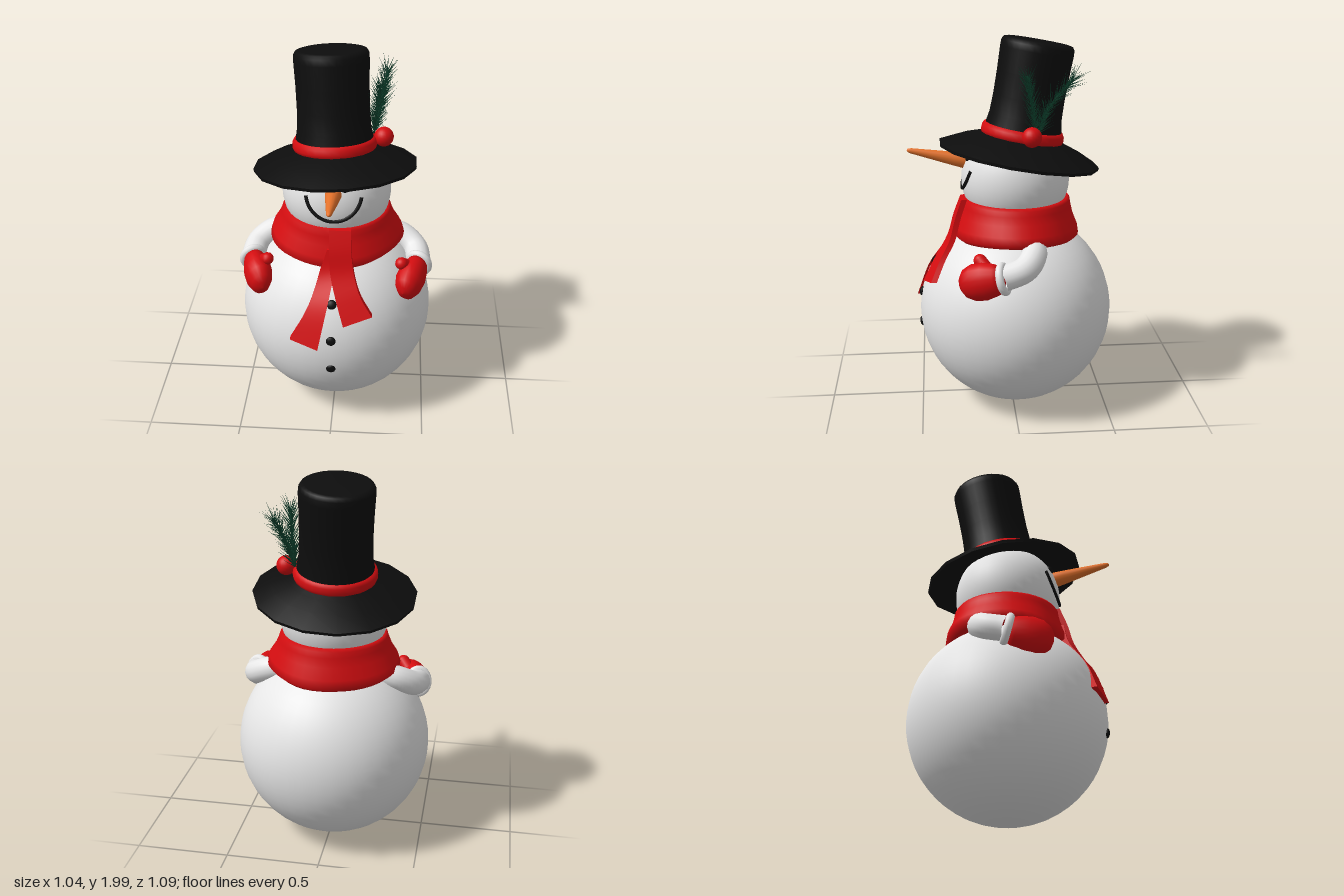
import * as THREE from 'three';
import { mergeGeometries, toCreasedNormals } from 'three/addons/utils/BufferGeometryUtils.js';

const V = (x, y, z) => new THREE.Vector3(x, y, z);
const mat = (name, color, side = THREE.FrontSide) => {
  const m = new THREE.MeshStandardMaterial({ color, side });
  m.name = name;
  return m;
};
const BODY = { c: V(0, 0.53, -0.022), r: 0.52 };
const HEAD = { c: V(0, 1.26, -0.02), r: 0.285 };

// Front point of a ball at the given x and y
const onBall = (b, x, y) => V(x, y, b.c.z + Math.sqrt(b.r ** 2 - (x - b.c.x) ** 2 - (y - b.c.y) ** 2));
const lathe = (pts, seg = 32) => new THREE.LatheGeometry(pts.map(p => new THREE.Vector2(...p)), seg);

// Flat cloth strip swept between two edge curves
function ribbon(left, right, thick = 0.03, n = 14) {
  const L = new THREE.CatmullRomCurve3(left.map(p => V(...p)));
  const R = new THREE.CatmullRomCurve3(right.map(p => V(...p)));
  const pos = [], idx = [];
  for (let i = 0; i <= n; i++) {
    const a = L.getPoint(i / n), b = R.getPoint(i / n);
    for (const [p, d] of [[a, 0], [b, 0], [b, thick], [a, thick]]) pos.push(p.x, p.y, p.z - d);
  }
  for (let i = 0; i < n; i++) for (let k = 0; k < 4; k++) {
    const a = i * 4 + k, b = i * 4 + (k + 1) % 4;
    idx.push(a, a + 4, b, b, a + 4, b + 4);
  }
  const e = n * 4;
  idx.push(0, 1, 2, 0, 2, 3, e, e + 2, e + 1, e, e + 3, e + 2);
  const g = new THREE.BufferGeometry();
  g.setAttribute('position', new THREE.Float32BufferAttribute(pos, 3));
  g.setIndex(idx);
  return toCreasedNormals(g, 0.7);
}

// Evergreen twig: a stem with thin needles spiralling along it
function twig(points, count, rand) {
  const curve = new THREE.CatmullRomCurve3(points.map(p => V(...p)));
  const parts = [new THREE.TubeGeometry(curve, 10, 0.005, 5)];
  for (let i = 0; i < count; i++) {
    const t = i / count, a = i * 2.4 + rand();
    const dir = curve.getTangent(t);
    const side = V(Math.cos(a), 0, Math.sin(a));
    side.addScaledVector(dir, -side.dot(dir)).normalize();
    dir.addScaledVector(side, 0.45 + 0.35 * rand()).normalize();
    const len = 0.075 + 0.04 * rand();
    const needle = new THREE.ConeGeometry(0.0028, len, 3, 1);
    needle.translate(0, len / 2, 0);
    needle.applyQuaternion(new THREE.Quaternion().setFromUnitVectors(V(0, 1, 0), dir));
    const p = curve.getPoint(t);
    parts.push(needle.translate(p.x, p.y, p.z));
  }
  return mergeGeometries(parts);
}

export function createModel() {
  const model = new THREE.Group();
  model.name = 'snowman';
  const snow = mat('snow', 0xe6e6e6), sleeve = mat('sleeveWhite', 0xf4f4f4);
  const red = mat('red', 0xd40d10), black = mat('black', 0x0d0d0d);
  const orange = mat('carrotOrange', 0xe8742c), green = mat('firGreen', 0x0b3d2a, THREE.DoubleSide);
  const add = (name, geo, m, parent = model) => {
    const mesh = new THREE.Mesh(geo, m);
    mesh.name = name;
    parent.add(mesh);
    return mesh;
  };

  // Snowballs
  add('body', new THREE.SphereGeometry(BODY.r, 40, 28), snow).position.copy(BODY.c);
  add('head', new THREE.SphereGeometry(HEAD.r, 36, 24), snow).position.copy(HEAD.c);

  // Eyes and buttons lie flat on the snow
  const dot = (name, ball, x, y) => {
    const d = add(name, new THREE.SphereGeometry(0.025, 14, 10), black);
    d.position.copy(onBall(ball, x, y));
    d.lookAt(d.position.clone().multiplyScalar(2).sub(ball.c));
    d.scale.z = 0.5;
  };
  for (const x of [-0.057, 0.057]) dot('eye', HEAD, x, 1.39);
  for (const y of [0.81, 0.63, 0.45]) dot('button', BODY, 0.003, y);

  // Smile
  const smile = [];
  for (let i = 0; i <= 16; i++) {
    const a = Math.PI * (1.04 + 0.92 * i / 16);
    smile.push(onBall(HEAD, 0.14 * Math.cos(a), 1.352 + 0.14 * Math.sin(a)));
  }
  add('mouth', new THREE.TubeGeometry(new THREE.CatmullRomCurve3(smile), 32, 0.01, 8), black);

  // Carrot nose
  const carrot = lathe([[0, -0.03], [0.036, -0.02], [0.042, 0.01], [0.037, 0.07], [0.024, 0.2], [0.014, 0.3], [0.008, 0.318], [0, 0.322]], 14);
  const nose = add('nose', carrot.rotateX(Math.PI / 2), orange);
  nose.position.set(0, 1.352, 0.23);
  nose.lookAt(0, 1.417, 0.545);

  // Scarf wrap, flattened front to back and lifted over the shoulders
  const wrap = lathe([[0.24, 0.945], [0.33, 0.94], [0.358, 0.965], [0.345, 1.01], [0.312, 1.07], [0.294, 1.12], [0.286, 1.15], [0.274, 1.166], [0.24, 1.16]], 40);
  const p = wrap.attributes.position;
  for (let i = 0; i < p.count; i++) {
    const x = p.getX(i), y = p.getY(i), z = p.getZ(i), a = Math.atan2(x, z);
    const t = Math.min(1, Math.max(0, (1.16 - y) / 0.2));
    const k = 1 + 0.012 * t * Math.sin(5 * a);
    p.setXYZ(i, x * k, y + 0.03 * t * Math.sin(a) ** 2, z * k * (1 - 0.08 * t));
  }
  wrap.computeVertexNormals();
  add('scarfWrap', wrap, red).position.z = -0.025;

  // Scarf tails
  add('scarfTailUpper', ribbon(
    [[-0.02, 1.165, 0.27], [-0.018, 1.06, 0.31], [-0.01, 0.95, 0.342], [0.025, 0.83, 0.415], [0.065, 0.715, 0.478]],
    [[0.09, 1.165, 0.27], [0.095, 1.06, 0.305], [0.11, 0.95, 0.335], [0.145, 0.85, 0.39], [0.21, 0.755, 0.437]]), red);
  add('scarfTailLower', ribbon(
    [[-0.03, 1.06, 0.29], [-0.065, 0.94, 0.32], [-0.115, 0.8, 0.41], [-0.21, 0.62, 0.475]],
    [[0.07, 1.06, 0.29], [0.015, 0.94, 0.325], [-0.02, 0.8, 0.435], [-0.065, 0.585, 0.515]]), red);

  // Arms with cuffs and mittens, mirrored
  for (const s of [1, -1]) {
    const arm = new THREE.Group();
    arm.name = s > 0 ? 'leftArm' : 'rightArm';
    model.add(arm);
    const path = new THREE.CatmullRomCurve3([
      V(0.25 * s, 0.965, -0.09), V(0.35 * s, 0.94, -0.085), V(0.425 * s, 0.895, -0.03), V(0.447 * s, 0.86, 0.08)]);
    add('sleeve', new THREE.TubeGeometry(path, 20, 0.066, 16), sleeve, arm);

    const hand = new THREE.Group();
    hand.name = 'hand';
    hand.position.set(0.447 * s, 0.86, 0.075);
    hand.lookAt(0.365 * s, 0.805, 0.29);
    arm.add(hand);
    const cuff = add('cuff', new THREE.TorusGeometry(0.062, 0.021, 10, 24), sleeve, hand);
    cuff.scale.set(0.9, 1.05, 1);
    const mitt = lathe([[0, 0], [0.066, 0.004], [0.082, 0.04], [0.098, 0.1], [0.096, 0.16], [0.074, 0.205], [0.04, 0.229], [0, 0.236]], 20);
    add('mitten', mitt.rotateX(Math.PI / 2), red, hand).scale.x = 0.76;
    const thumb = add('thumb', new THREE.CapsuleGeometry(0.033, 0.05, 6, 12), red, hand);
    thumb.position.set(-0.04 * s, 0.078, 0.105);
    thumb.rotation.set(0.65, 0, 0.35 * s);
  }

  // Tilted top hat
  const hat = new THREE.Group();
  hat.name = 'hat';
  hat.position.set(-0.008, 1.383, -0.04);
  hat.rotation.set(-0.175, 0, 0.05);
  model.add(hat);
  const brim = lathe([[0.19, 0.062], [0.25, 0.052], [0.33, 0.026], [0.424, -0.012], [0.427, 0.004], [0.33, 0.05], [0.25, 0.078], [0.19, 0.1]], 16);
  add('brim', toCreasedNormals(brim, 0.8), black, hat).rotation.y = Math.PI / 16;
  const crown = lathe([[0.208, 0.06], [0.203, 0.13], [0.19, 0.2], [0.186, 0.3], [0.187, 0.42], [0.191, 0.54], [0.19, 0.572], [0.18, 0.589], [0.16, 0.594], [0, 0.596]]);
  add('crown', crown, black, hat);
  const band = lathe([[0.2, 0.082], [0.214, 0.088], [0.219, 0.105], [0.217, 0.128], [0.208, 0.144], [0.19, 0.147]]);
  add('hatBand', band, red, hat);

  // Berry and fir sprig on the hat
  add('berry', new THREE.SphereGeometry(0.051, 20, 14), red).position.set(0.238, 1.525, -0.083);
  let seed = 7;
  const rand = () => (seed = (seed * 16807) % 2147483647) / 2147483647;
  add('firTwigFront', twig([[0.185, 1.53, -0.11], [0.2, 1.67, -0.09], [0.215, 1.81, -0.062]], 130, rand), green);
  add('firTwigBack', twig([[0.185, 1.53, -0.12], [0.215, 1.67, -0.17], [0.245, 1.81, -0.28]], 140, rand), green);
  return model;
}
